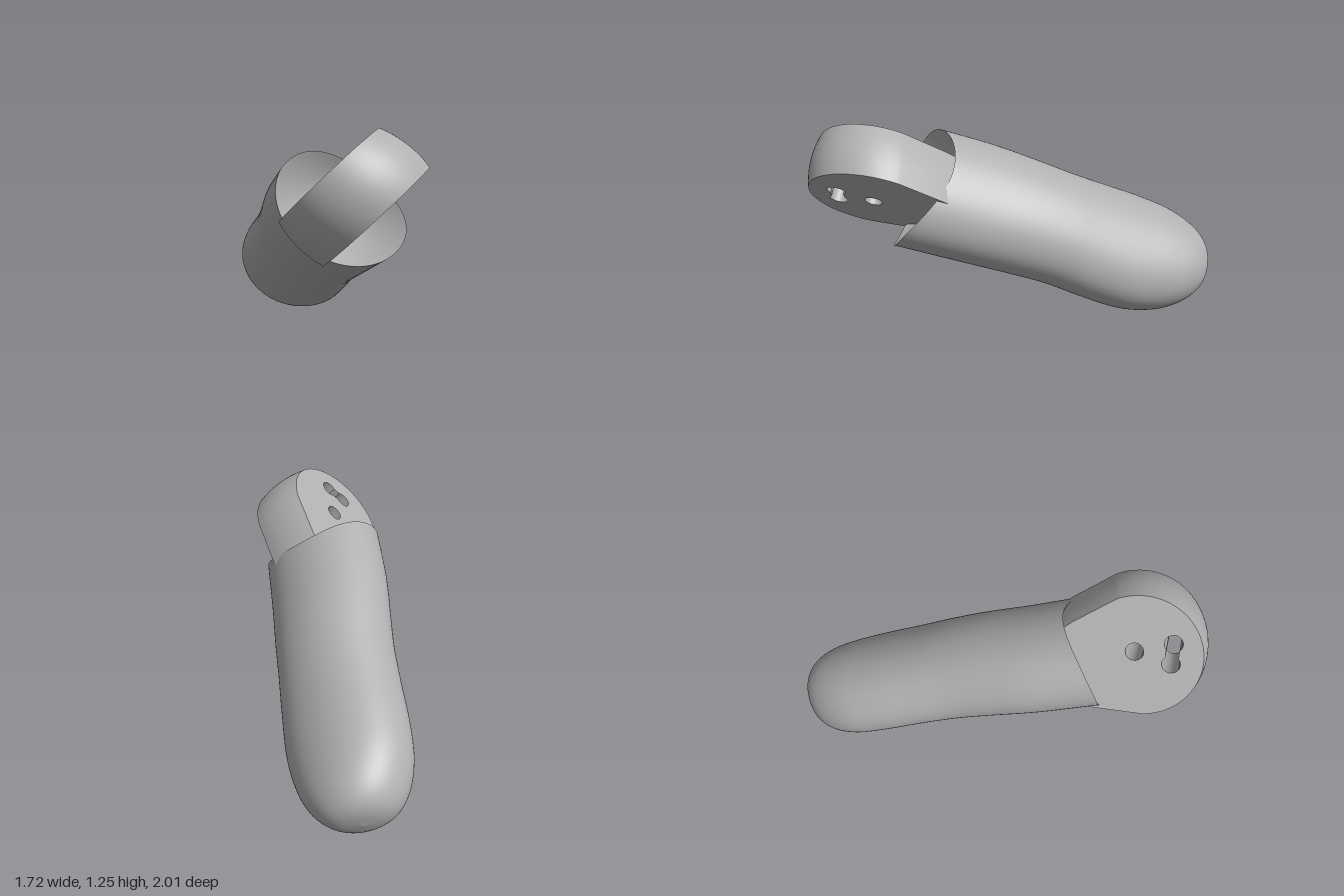
import * as THREE from 'three';
import { toCreasedNormals } from 'three/addons/utils/BufferGeometryUtils.js';

// Local frame: x across the width, y from hinge to fingertip, z through the thickness.
const SEG = 72;
const ROWS = 80;

// Stations along the body: [y, half width, half thickness, x offset, z offset]
const STATIONS = [
  [0.30, 0.286, 0.368, 0, 0],
  [0.60, 0.284, 0.368, 0.008, 0],
  [0.85, 0.282, 0.358, 0.02, -0.01],
  [1.08, 0.276, 0.350, 0.024, -0.022],
  [1.30, 0.269, 0.358, 0.018, -0.036],
  [1.55, 0.268, 0.362, 0.01, -0.045],
  [1.75, 0.264, 0.334, 0.006, -0.04],
  [1.90, 0.242, 0.275, 0.008, -0.035],
  [2.00, 0.190, 0.200, 0.012, -0.03],
  [2.05, 0.115, 0.118, 0.015, -0.03],
  [2.068, 0.001, 0.001, 0.015, -0.03],
];

// Dished hinge cut at the start of the body
const cutAt = (x, z) =>
  0.44 - 0.22 * (z / 0.36) ** 2 - 0.12 * (x / 0.27) ** 2 + 0.12 * (x + z);

// Slightly squared and sheared oval section
function oval(angle, rx, rz) {
  const c = Math.cos(angle), s = Math.sin(angle), e = 2 / 2.12;
  const z = rz * Math.sign(s) * Math.abs(s) ** e;
  return [rx * Math.sign(c) * Math.abs(c) ** e - 0.075 * z, z];
}

// Joins rows of closed rings into one smooth surface
function loft(rows, pointAt) {
  const pos = [], index = [];
  for (let i = 0; i <= rows; i++) {
    for (let j = 0; j < SEG; j++) {
      pos.push(...pointAt(i / rows, (j / SEG) * Math.PI * 2));
      if (i === rows) continue;
      const a = i * SEG + j, b = i * SEG + (j + 1) % SEG;
      index.push(a, a + SEG, b, b, a + SEG, b + SEG);
    }
  }
  const geo = new THREE.BufferGeometry();
  geo.setAttribute('position', new THREE.Float32BufferAttribute(pos, 3));
  geo.setIndex(index);
  geo.computeVertexNormals();
  return geo;
}

function bodyGeometry() {
  const size = new THREE.CatmullRomCurve3(
    STATIONS.map(([y, rx, rz]) => new THREE.Vector3(rx, y, rz)), false, 'catmullrom');
  const shift = new THREE.CatmullRomCurve3(
    STATIONS.map(([y, , , ox, oz]) => new THREE.Vector3(ox, y, oz)), false, 'catmullrom');
  return loft(ROWS, (t, angle) => {
    const r = size.getPoint(t), o = shift.getPoint(t);
    const [x, z] = oval(angle, Math.max(r.x, 0.001), Math.max(r.z, 0.001));
    const fade = Math.max(0, 1 - (r.y - 0.3) / 0.45);
    return [x + o.x, r.y + (cutAt(x, z) - 0.3) * fade, z + o.z];
  });
}

// Dished end face of the body, from its centre out to the rim
function socketGeometry() {
  const [, rx, rz] = STATIONS[0];
  return loft(12, (t, angle) => {
    const k = Math.max(t, 0.001);
    const [x, z] = oval(angle, rx * k, rz * k);
    return [x, cutAt(x, z), z];
  });
}

// Flat-faced hinge plate with a bulging rim, a pivot hole and a waisted double hole
function hingeGeometry() {
  const R = 0.365, T = 0.31, open = 0.15;
  const shape = new THREE.Shape();
  shape.moveTo(0.2, 0.52);
  shape.lineTo(0.276, 0.33);
  shape.absarc(0, 0, R, open, Math.PI - open, true);
  shape.lineTo(-0.276, 0.33);
  shape.lineTo(-0.2, 0.52);
  shape.closePath();

  const pivot = new THREE.Path();
  pivot.absarc(0, 0, 0.05, 0, Math.PI * 2, false);

  const a = [-0.106, -0.178], b = [0.006, -0.215];
  const dir = Math.atan2(b[1] - a[1], b[0] - a[0]), waist = 0.78;
  const slot = new THREE.Path();
  slot.absarc(a[0], a[1], 0.05, dir + waist, dir + Math.PI * 2 - waist, false);
  slot.absarc(b[0], b[1], 0.05, dir + Math.PI + waist, dir + Math.PI * 3 - waist, false);
  slot.closePath();
  shape.holes.push(pivot, slot);

  const geo = new THREE.ExtrudeGeometry(shape, { depth: T, steps: 10, bevelEnabled: false, curveSegments: 40 });
  geo.translate(0, 0, -T / 2);

  // Bulge the rim and draw it in towards the upper face, leaving the holes straight
  const p = geo.attributes.position;
  for (let i = 0; i < p.count; i++) {
    const x = p.getX(i), y = p.getY(i), u = p.getZ(i) / (T / 2);
    if (Math.hypot(x, y) < 0.3) continue;
    const k = 1.03 - 0.03 * u - 0.06 * u * u;
    p.setXY(i, x * k - 0.01 - 0.02 * u, y * k - 0.01 * (1 + u));
  }
  return toCreasedNormals(geo, 0.5);
}

export function createModel() {
  const grey = new THREE.MeshStandardMaterial({ color: 0xb0b0b0 });
  grey.name = 'plain grey';

  const finger = new THREE.Group();
  finger.name = 'fingerSegment';
  const add = (name, geo) => {
    const mesh = new THREE.Mesh(geo, grey);
    mesh.name = name;
    finger.add(mesh);
  };
  add('fingerBody', bodyGeometry());
  add('hingeSocket', socketGeometry());
  add('hingePlate', hingeGeometry());

  // Tilt the whole part into its resting pose, with the pivot at the group's origin
  const along = new THREE.Vector3(0.558, -0.344, -0.755).normalize();
  const across = new THREE.Vector3(0.75, 0.598, 0.282);
  across.addScaledVector(along, -across.dot(along)).normalize();
  const through = new THREE.Vector3().crossVectors(across, along);
  finger.quaternion.setFromRotationMatrix(new THREE.Matrix4().makeBasis(across, along, through));
  finger.position.set(-0.45, 0.92, 0.605);

  const model = new THREE.Group();
  model.name = 'jointedFinger';
  model.add(finger);
  return model;
}
